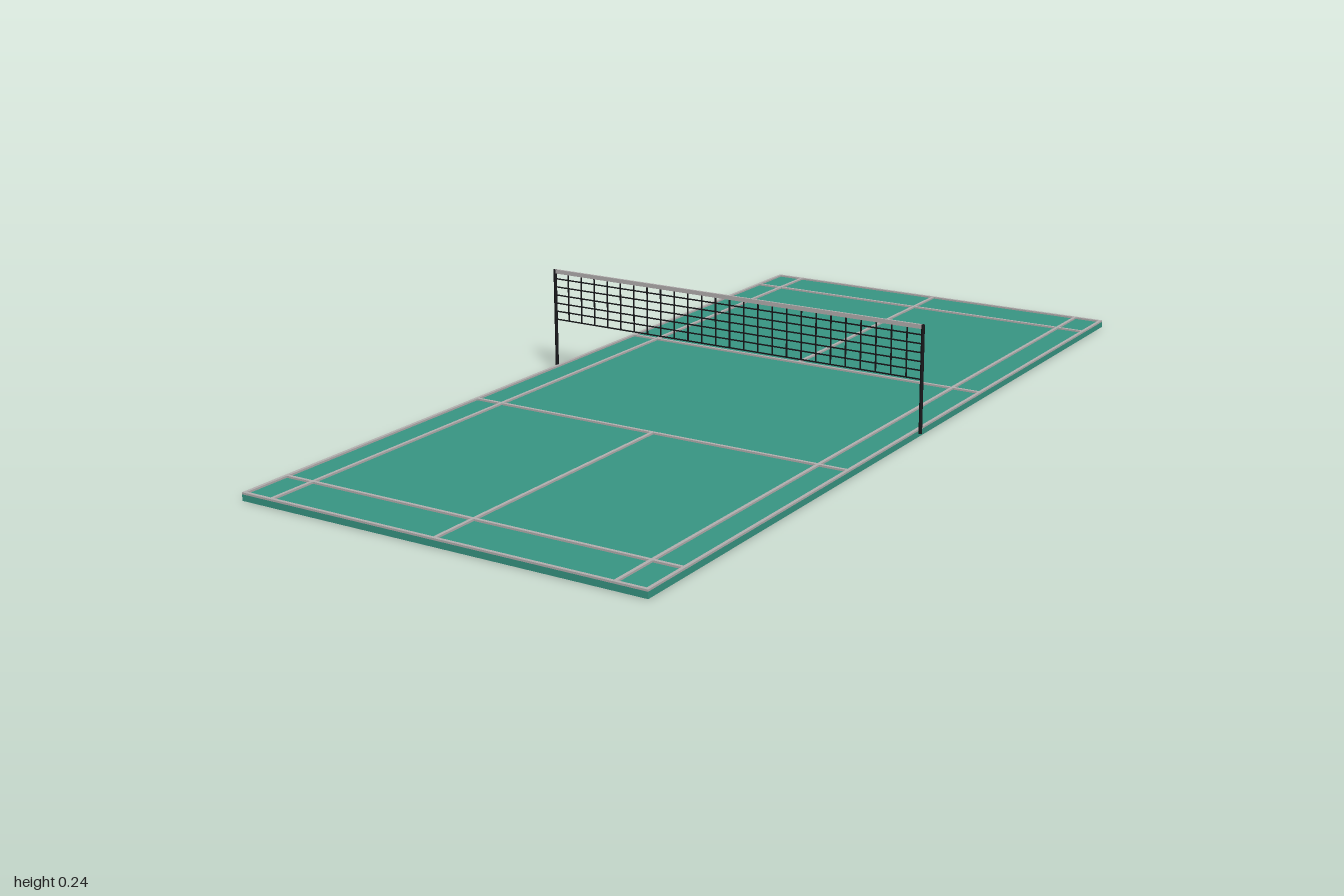
import * as THREE from 'three';

export function createModel() {
  const group = new THREE.Group();
  const mat = (name, color) => {
    const m = new THREE.MeshStandardMaterial({ color });
    m.name = name;
    return m;
  };
  const green = mat('court green', 0x389684);
  const grey = mat('line grey', 0xb4b0b0);
  const black = mat('net black', 0x17171a);

  const box = (name, material, w, h, d, x, y, z, parent = group) => {
    const mesh = new THREE.Mesh(new THREE.BoxGeometry(w, h, d), material);
    mesh.name = name;
    mesh.position.set(x, y, z);
    parent.add(mesh);
  };

  // Court slab
  const halfW = 0.453, slab = 0.013;
  box('courtSlab', green, halfW * 2, slab, 2, 0, slab / 2, 0);

  // Raised court markings
  const lines = new THREE.Group();
  lines.name = 'courtLines';
  group.add(lines);
  const lw = 0.007, lh = 0.004, ly = slab + lh / 2;
  for (const s of [-1, 1]) {
    box('doublesSideline', grey, lw, lh, 2, s * (halfW - lw / 2), ly, 0, lines);
    box('singlesSideline', grey, lw, lh, 2, s * 0.384, ly, 0, lines);
    box('centreLine', grey, lw, lh, 0.7, 0, ly, s * 0.65, lines);
    for (const z of [1 - lw / 2, 0.884, 0.3]) {
      box('crossLine', grey, halfW * 2, lh, lw, 0, ly, s * z, lines);
    }
  }

  // Net posts
  for (const s of [-1, 1]) {
    const post = new THREE.Mesh(new THREE.CylinderGeometry(0.0037, 0.0037, 0.23, 12), black);
    post.name = 'netPost';
    post.position.set(s * 0.4555, 0.122, 0);
    group.add(post);
  }

  // Net mesh
  const net = new THREE.Group();
  net.name = 'net';
  group.add(net);
  const span = 0.91, bottom = 0.122, top = 0.233, strand = 0.0025, columns = 26;
  for (let i = 1; i < columns; i++) {
    box('verticalStrand', black, strand, top - bottom, strand,
      -span / 2 + (span * i) / columns, (top + bottom) / 2, 0, net);
  }
  for (let j = 0; j < 6; j++) {
    box('horizontalStrand', black, span, strand, strand, 0, bottom + j * 0.0187, 0, net);
  }

  // Tape along the top of the net
  box('netTape', grey, span, 0.009, 0.005, 0, 0.2325, 0);

  return group;
}
